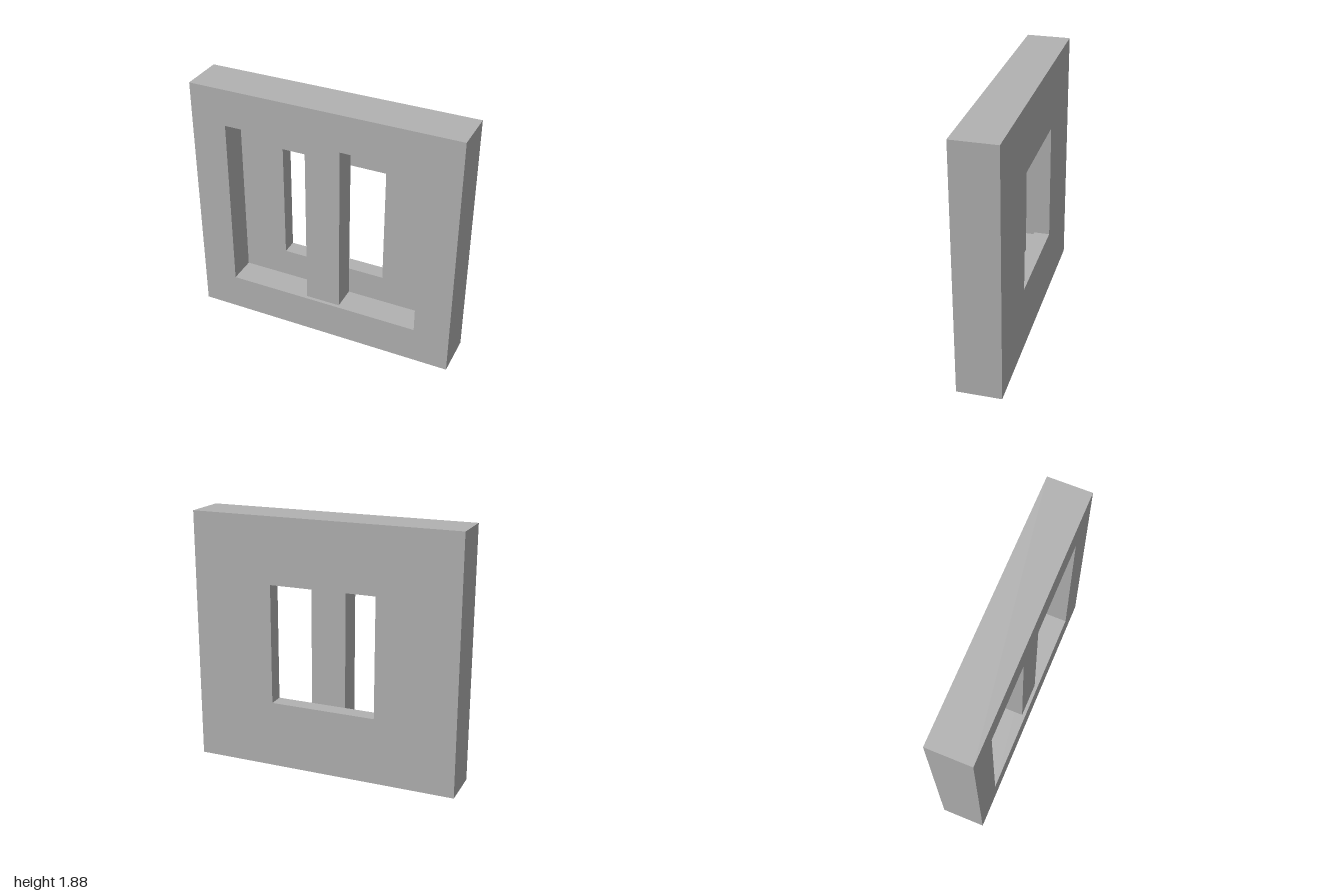
import * as THREE from 'three';

const FRONT = 0.163, BACK = -0.163, FLOOR = -0.045;

// Rectangle half-width, bottom, top at depth z, corners anticlockwise from the front
const rect = (hw, y0, y1, z) => [[-hw, y0, z], [hw, y0, z], [hw, y1, z], [-hw, y1, z]];

// Closed skin running through a loop of rectangles, with flat faces
function loftLoop(rings) {
  const pos = [];
  rings.forEach((a, i) => {
    const b = rings[(i + 1) % rings.length];
    for (let j = 0; j < 4; j++) {
      const k = (j + 1) % 4;
      pos.push(...a[j], ...a[k], ...b[k], ...a[j], ...b[k], ...b[j]);
    }
  });
  const geo = new THREE.BufferGeometry();
  geo.setAttribute('position', new THREE.Float32BufferAttribute(pos, 3));
  geo.computeVertexNormals();
  return geo;
}

export function createModel() {
  const group = new THREE.Group();
  group.name = 'windowBlock';
  const grey = new THREE.MeshStandardMaterial({ color: 0xb2b2b2 });
  grey.name = 'grey';

  // Block with a wide front recess and a smaller opening through its floor
  const frame = new THREE.Mesh(loftLoop([
    rect(1, 0, 1.88, BACK),
    rect(1, 0, 1.88, FRONT),
    rect(0.735, 0.28, 1.602, FRONT),
    rect(0.735, 0.28, 1.602, FLOOR),
    rect(0.398, 0.498, 1.39, FLOOR),
    rect(0.398, 0.498, 1.39, BACK),
  ]), grey);
  frame.name = 'frame';
  group.add(frame);

  // Upright bar, slightly set back from the front face
  const barFront = 0.137;
  const bar = new THREE.Mesh(new THREE.BoxGeometry(0.262, 1.322, barFront - FLOOR), grey);
  bar.position.set(0, 0.941, (barFront + FLOOR) / 2);
  bar.name = 'centreBar';
  group.add(bar);

  return group;
}
